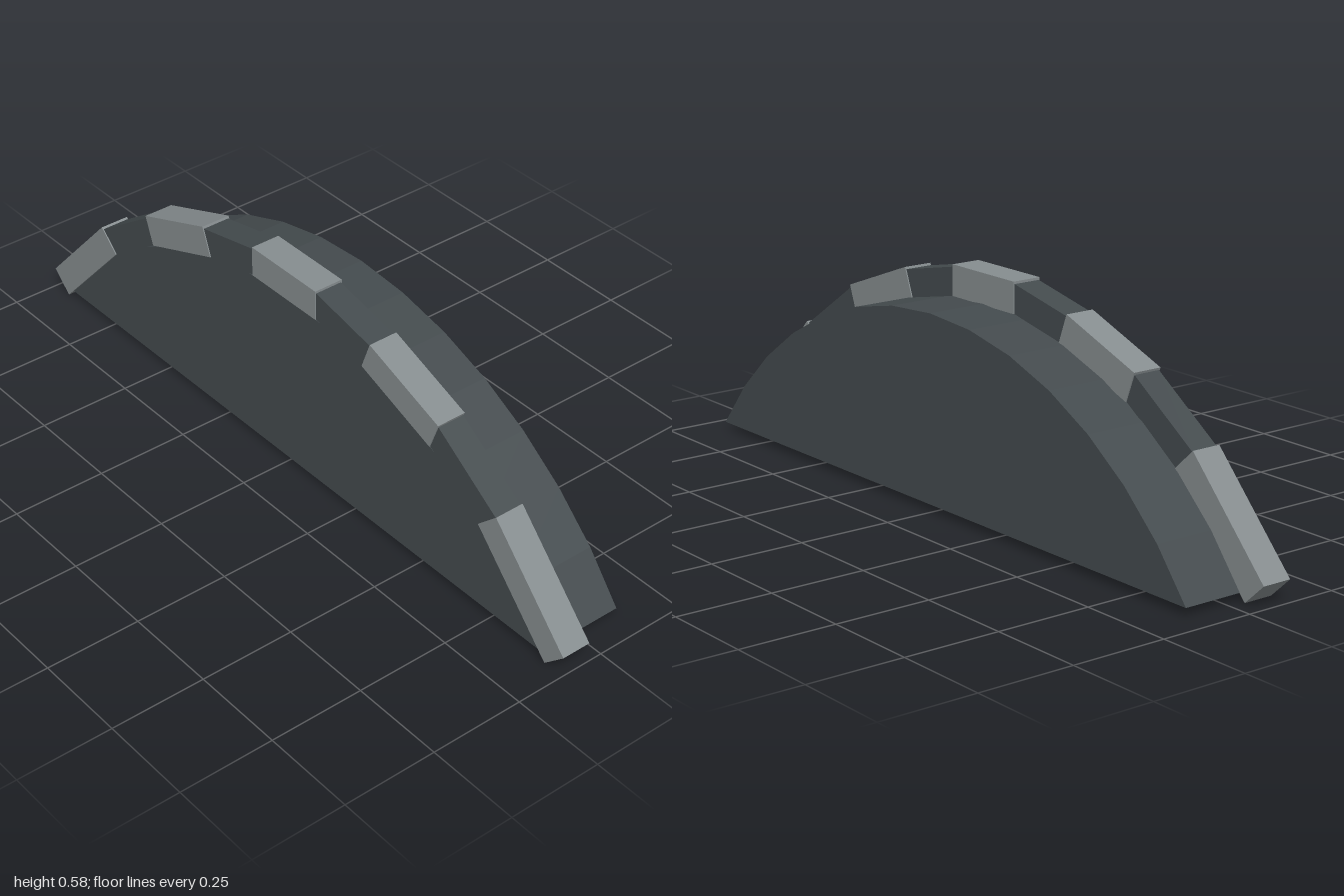
import * as THREE from 'three';

const stoneLight = new THREE.MeshStandardMaterial({ color: 0x868d8f });
stoneLight.name = 'lightGrey';
const stoneDark = new THREE.MeshStandardMaterial({ color: 0x444b4e });
stoneDark.name = 'darkGrey';

// Extrude a flat outline of [x, y] points from zBack to zFront
function slab(name, points, zBack, zFront, material) {
  const shape = new THREE.Shape(points.map(([x, y]) => new THREE.Vector2(x, y)));
  const geometry = new THREE.ExtrudeGeometry(shape, { depth: zFront - zBack, bevelEnabled: false });
  geometry.translate(0, 0, zBack);
  const mesh = new THREE.Mesh(geometry, material);
  mesh.name = name;
  return mesh;
}

export function createModel() {
  const group = new THREE.Group();
  group.name = 'archedPediment';

  // Solid half-round panel: a faceted arc closed by a straight chord
  const radius = 1.131, centreY = -0.631, half = 0.958, steps = 14;
  const arc = [];
  for (let i = 0; i <= steps; i++) {
    const a = half - (2 * half * i) / steps;
    arc.push([-Math.sin(a) * radius, centreY + Math.cos(a) * radius]);
  }
  group.add(slab('archPanel', arc, -0.12, 0.115, stoneDark));

  // Light blocks: right-angled bars given by their outer edge, [x, y] to [x, y]
  const thick = 0.08;
  const edges = [
    [[-0.12, 0.577], [0.12, 0.577]],
    [[0.318, 0.535], [0.56, 0.445]],
    [[0.762, 0.308], [1, 0.055]],
  ];
  const blocks = edges.map(([a, b]) => {
    const dx = b[0] - a[0], dy = b[1] - a[1], len = Math.hypot(dx, dy);
    const inward = ([x, y]) => [x + (dy / len) * thick, y - (dx / len) * thick];
    return [a, b, inward(b), inward(a)];
  });

  // Dark blocks fill the gaps and sit slightly behind the light ones
  const inset = ([x, y]) => [x - 0.002, y - 0.006];
  const fillers = [0, 1].map((i) => {
    const p = blocks[i], q = blocks[i + 1];
    return [inset(p[1]), inset(q[0]), q[3], p[2]];
  });

  for (const side of [1, -1]) {
    const label = side > 0 ? 'left' : 'right';
    const mirror = (pts) => pts.map(([x, y]) => [x * side, y]);
    blocks.forEach((pts, i) => {
      if (i === 0 && side < 0) return;
      const name = i === 0 ? 'keyBlock' : `${label}LightBlock${i}`;
      group.add(slab(name, mirror(pts), 0.04, 0.12, stoneLight));
    });
    fillers.forEach((pts, i) => {
      group.add(slab(`${label}DarkBlock${i + 1}`, mirror(pts), 0.043, 0.117, stoneDark));
    });
  }
  return group;
}
